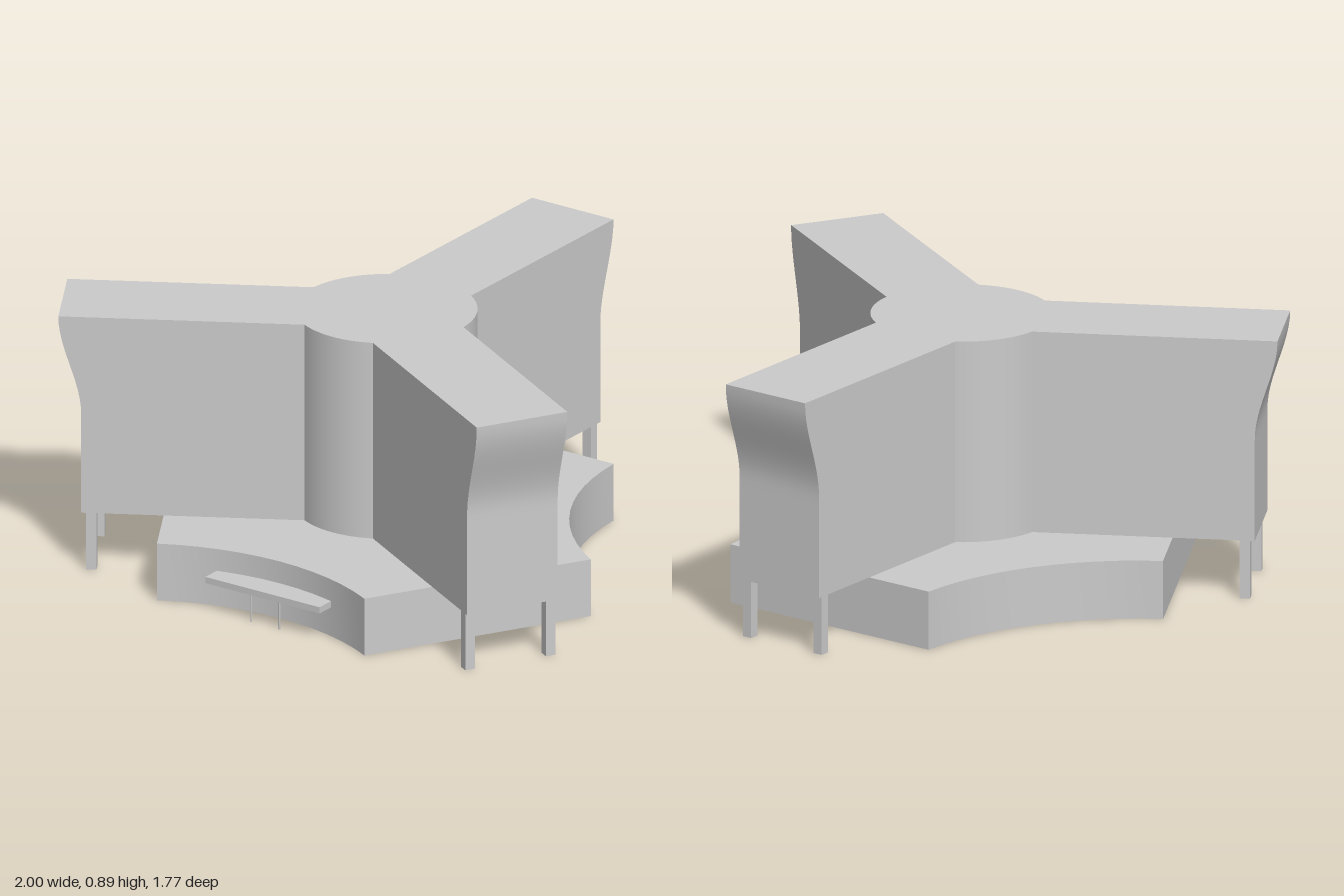
import * as THREE from 'three';
import { toCreasedNormals } from 'three/addons/utils/BufferGeometryUtils.js';

const ARMS = [-90, 30, 150].map(THREE.MathUtils.degToRad); // plan angles of the three wings
const BASE_H = 0.2, TOP = 0.89;
const ARM_HALF = 0.163, ARM_END = 0.985, FLARE = 0.075, HUB_R = 0.3;

// Plan point (x, z) at distance r along direction a, offset sideways by s
const plan = (a, r, s) => new THREE.Vector2(
  r * Math.cos(a) - s * Math.sin(a), r * Math.sin(a) + s * Math.cos(a));

// Three wings joined by a round hub, with wing ends flaring towards the top
function towerGeometry() {
  const outline = [];
  const half = Math.asin(ARM_HALF / HUB_R), n = 12;
  for (const a of ARMS) {
    outline.push(plan(a, ARM_END, -ARM_HALF), plan(a, ARM_END, ARM_HALF));
    for (let i = 0; i <= n; i++) {
      const t = a + half + (Math.PI * 2 / 3 - 2 * half) * i / n;
      outline.push(plan(t, HUB_R, 0));
    }
  }
  const geo = new THREE.ExtrudeGeometry(new THREE.Shape(outline),
    { depth: TOP - BASE_H, steps: 24, bevelEnabled: false });
  geo.rotateX(Math.PI / 2).translate(0, TOP, 0);
  const p = geo.attributes.position;
  for (let i = 0; i < p.count; i++) {
    const x = p.getX(i), z = p.getZ(i);
    if (Math.hypot(x, z) < 0.9) continue;
    const a = ARMS.find(t => x * Math.cos(t) + z * Math.sin(t) > 0.9);
    const d = FLARE * THREE.MathUtils.smoothstep(p.getY(i), 0.55, TOP);
    p.setX(i, x + d * Math.cos(a));
    p.setZ(i, z + d * Math.sin(a));
  }
  return toCreasedNormals(geo, 0.5);
}

// Plan of the base: straight under each wing, hollowed between them
function baseOutline() {
  const pts = [], R = 0.873, span = Math.asin(0.415 / R), n = 12;
  for (const a of ARMS) {
    for (let i = 0; i <= n; i++) {
      const t = span * (2 * i / n - 1);
      pts.push(plan(a + Math.PI / 3, 1.478 - R * Math.cos(t), R * Math.sin(t)));
    }
  }
  return pts;
}

// Upright wall along a closed outline
function wallGeometry(pts, height) {
  const pos = [];
  pts.forEach((a, i) => {
    const b = pts[(i + 1) % pts.length];
    pos.push(a.x, 0, a.y, a.x, height, a.y, b.x, height, b.y);
    pos.push(a.x, 0, a.y, b.x, height, b.y, b.x, 0, b.y);
  });
  const geo = new THREE.BufferGeometry();
  geo.setAttribute('position', new THREE.Float32BufferAttribute(pos, 3));
  return toCreasedNormals(geo, 0.5);
}

export function createModel() {
  const model = new THREE.Group();
  model.name = 'building';
  model.position.z = 0.17;
  const solid = new THREE.MeshStandardMaterial({ color: 0xcccccc });
  const sheet = new THREE.MeshStandardMaterial({ color: 0xcccccc, side: THREE.DoubleSide });
  const add = (name, geo, mat = solid, x = 0, y = 0, z = 0) => {
    const mesh = new THREE.Mesh(geo, mat);
    mesh.name = name;
    mesh.position.set(x, y, z);
    model.add(mesh);
    return mesh;
  };

  add('tower', towerGeometry());

  // Base, open underneath
  const outline = baseOutline();
  add('baseWalls', wallGeometry(outline, BASE_H), sheet);
  const roof = new THREE.ShapeGeometry(new THREE.Shape(outline));
  roof.rotateX(Math.PI / 2);
  add('baseRoof', roof, sheet, 0, BASE_H, 0);

  // Two square columns under the end of each wing
  const columnGeo = new THREE.BoxGeometry(0.034, BASE_H, 0.034);
  for (const a of ARMS) {
    for (const side of [-1, 1]) {
      const c = plan(a, 0.952, side * 0.145);
      add('column', columnGeo, solid, c.x, BASE_H / 2, c.y).rotation.y = -a;
    }
  }

  // Entrance canopy on two thin posts
  add('canopy', new THREE.BoxGeometry(0.456, 0.022, 0.105), solid, 0, 0.112, 0.6475);
  for (const x of [-0.055, 0.058]) {
    add('canopyPost', new THREE.CylinderGeometry(0.003, 0.003, 0.102, 8), solid, x, 0.051, 0.685);
  }
  return model;
}
